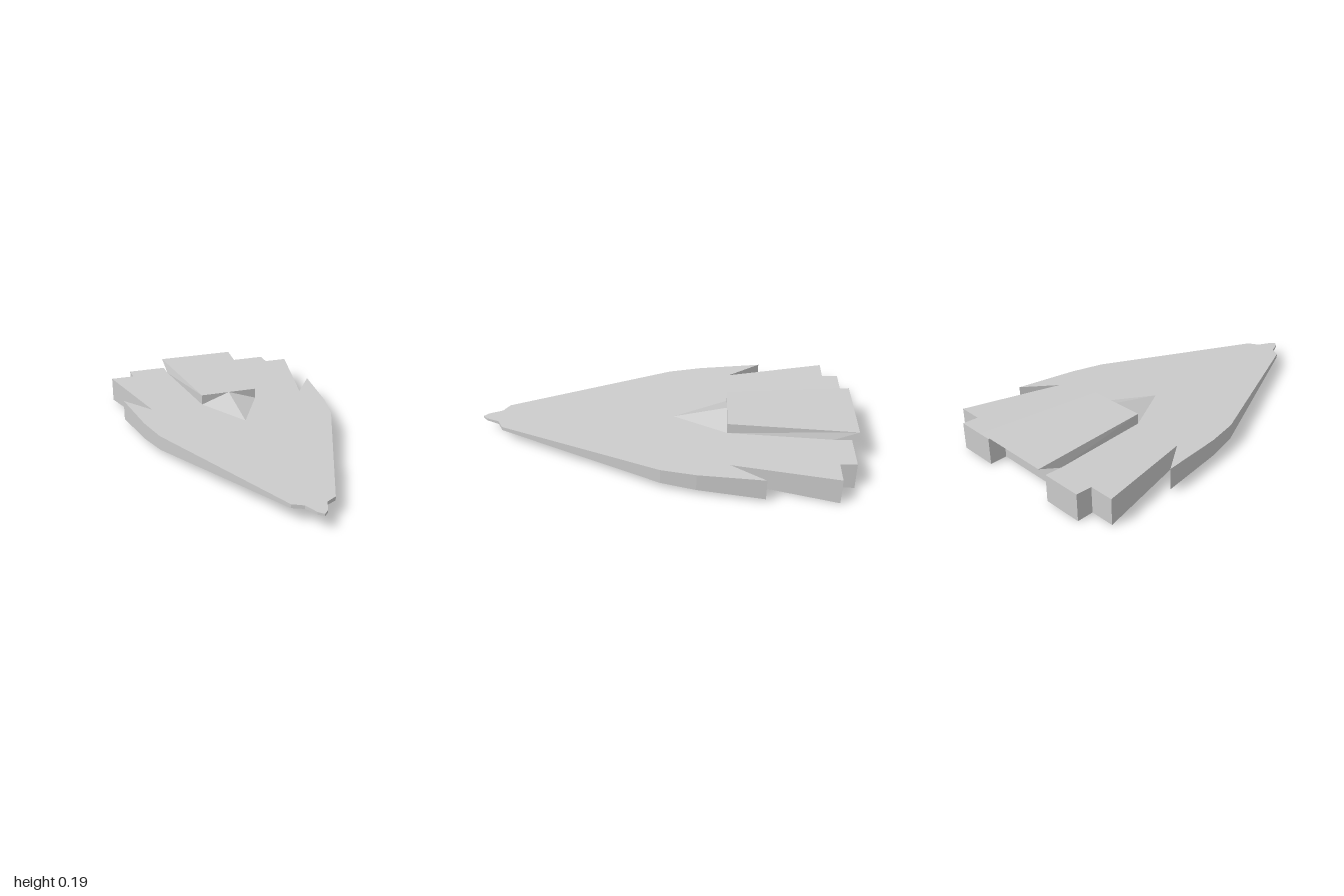
import * as THREE from 'three';

const material = new THREE.MeshStandardMaterial({ color: 0xcccccc, flatShading: true });

// heights of the hull's upper and lower deck along z
const deckY = z => 0.112 - 0.0325 * z;
const keelY = z => 0.034 + 0.0345 * z;

// wedge hull: mirrored plan outline, thickness growing towards the stern
function hullGeometry() {
  const half = [
    [0.025, 0.97], [0.055, 0.9], [0.11, 0.87], [0.49, 0], [0.53, -0.18], [0.57, -0.52],
    [0.445, -0.345], [0.565, -0.88], [0.435, -0.88], [0.435, -0.965], [0.22, -0.965], [0.22, -0.875],
  ];
  const outline = [[0, 0.995], ...half, ...half.map(([x, z]) => [-x, z]).reverse()];
  const shape = new THREE.Shape(outline.map(([x, z]) => new THREE.Vector2(x, -z)));
  const geo = new THREE.ExtrudeGeometry(shape, { depth: 1, bevelEnabled: false });
  geo.rotateX(-Math.PI / 2);
  const p = geo.attributes.position;
  for (let i = 0; i < p.count; i++) {
    const z = p.getZ(i);
    p.setY(i, p.getY(i) > 0.5 ? deckY(z) : Math.max(0, keelY(z)));
  }
  geo.computeVertexNormals();
  return geo;
}

// geometry from named corners and polygons (counter-clockwise from outside)
function polyGeometry(corners, faces) {
  const pos = [];
  for (const face of faces) {
    for (let i = 1; i < face.length - 1; i++) {
      for (const k of [face[0], face[i], face[i + 1]]) pos.push(...corners[k]);
    }
  }
  const geo = new THREE.BufferGeometry();
  geo.setAttribute('position', new THREE.Float32BufferAttribute(pos, 3));
  geo.computeVertexNormals();
  return geo;
}

const frontZ = -0.33;
const sternZ = -0.875;

// raised block with a stern that overhangs the hull
function towerGeometry() {
  const corners = {};
  for (const [s, n] of [[1, 'L'], [-1, 'R']]) {
    corners['ft' + n] = [0.16 * s, 0.178, frontZ];
    corners['fb' + n] = [0.16 * s, deckY(frontZ), frontZ];
    corners['bt' + n] = [0.22 * s, 0.19, -1];
    corners['bb' + n] = [0.22 * s, deckY(sternZ), sternZ];
  }
  return polyGeometry(corners, [
    ['ftR', 'ftL', 'btL', 'btR'],
    ['fbR', 'fbL', 'ftL', 'ftR'],
    ['btL', 'bbL', 'bbR', 'btR'],
    ['fbL', 'bbL', 'btL', 'ftL'],
    ['ftR', 'btR', 'bbR', 'fbR'],
  ]);
}

// ridged ramp running from the tower down to the deck
function rampGeometry() {
  const corners = {
    top: [0, 0.178, frontZ],
    tip: [0, deckY(-0.045), -0.045],
    left: [0.16, deckY(frontZ), frontZ],
    right: [-0.16, deckY(frontZ), frontZ],
  };
  return polyGeometry(corners, [['top', 'tip', 'left'], ['top', 'right', 'tip']]);
}

export function createModel() {
  const model = new THREE.Group();
  model.name = 'wedgeShip';
  const parts = { hull: hullGeometry(), tower: towerGeometry(), towerRamp: rampGeometry() };
  for (const [name, geo] of Object.entries(parts)) {
    const mesh = new THREE.Mesh(geo, material);
    mesh.name = name;
    model.add(mesh);
  }
  return model;
}
